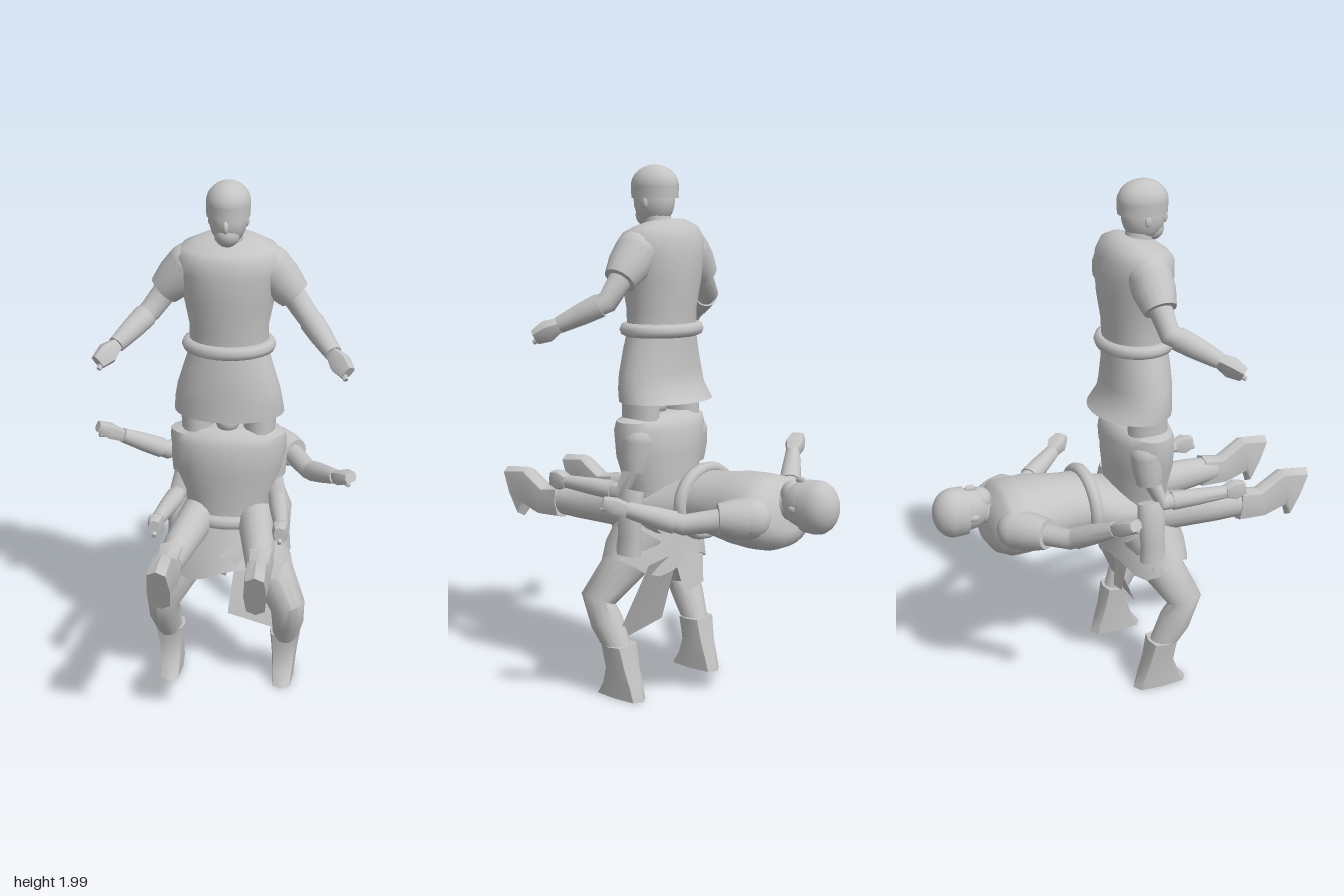
import * as THREE from 'three';
import { toCreasedNormals } from 'three/addons/utils/BufferGeometryUtils.js';

const CX = 0.042; // shared centre line of the three bodies
const X = new THREE.Vector3(1, 0, 0), Y = new THREE.Vector3(0, 1, 0), Z = new THREE.Vector3(0, 0, 1);
const DOWN = new THREE.Vector3(0, -1, 0);

// Closed skin through elliptical sections [x, y, z, radiusU, radiusV]; eight-sided skins are boxier.
// jag lifts the last ring in waves; axis keeps every ring square to one direction
function sweep(sections, ref = Z, sides = 16, jag = 0, axis = null) {
  const c = sections.map(s => new THREE.Vector3(s[0], s[1], s[2]));
  const n = c.length, pos = [], idx = [];
  const round = w => Math.sign(w) * Math.abs(w) ** (sides === 8 ? 0.6 : 1);
  c.forEach((p, i) => {
    const t = axis ?? c[Math.min(i + 1, n - 1)].clone().sub(c[Math.max(i - 1, 0)]).normalize();
    const u = t.clone().cross(ref).normalize(), v = u.clone().cross(t);
    const ru = sections[i][3], rv = sections[i][4] ?? ru;
    for (let j = 0; j < sides; j++) {
      const a = j / sides * Math.PI * 2;
      const q = p.clone().addScaledVector(u, round(Math.cos(a)) * ru).addScaledVector(v, round(Math.sin(a)) * rv);
      if (i === n - 1) q.y += jag * Math.sin(a * 4 + 0.6);
      pos.push(q.x, q.y, q.z);
    }
  });
  pos.push(...c[0].toArray(), ...c[n - 1].toArray());
  for (let j = 0; j < sides; j++) {
    const k = (j + 1) % sides, top = (n - 1) * sides;
    for (let i = 0; i < n - 1; i++) {
      const a = i * sides + j, b = i * sides + k;
      idx.push(a, a + sides, b, b, a + sides, b + sides);
    }
    idx.push(n * sides, j, k, n * sides + 1, top + k, top + j);
  }
  const g = new THREE.BufferGeometry();
  g.setAttribute('position', new THREE.Float32BufferAttribute(pos, 3));
  g.setIndex(idx);
  return toCreasedNormals(g, 0.85);
}

export function createModel() {
  const root = new THREE.Group();
  const grey = new THREE.MeshStandardMaterial({ color: 0xc4c4c4, side: THREE.DoubleSide });
  grey.name = 'plain grey';

  const add = (name, geo, parent = root) => {
    const m = new THREE.Mesh(geo, grey);
    m.name = name;
    parent.add(m);
    return m;
  };
  const ball = (name, parent, p, s, theta = Math.PI) => {
    const m = add(name, new THREE.SphereGeometry(1, 20, 12, 0, Math.PI * 2, 0, theta), parent);
    m.position.set(...p);
    m.scale.set(...s);
  };
  const belt = (parent, y, z, rx, rz) => {
    const g = new THREE.TorusGeometry(1, 0.17, 8, 28).rotateX(Math.PI / 2);
    const m = add('belt', g, parent);
    m.position.set(0, y, z);
    m.scale.set(rx, 0.15, rz);
  };
  // Mirrors section centres about the shared centre line
  const side = (s, list) => list.map(p => [CX + s * p[0], ...p.slice(1)]);

  // Torso with belt, neck and capped head; origin at the belt
  function upperBody(name, headShift) {
    const g = new THREE.Group();
    g.name = name;
    add('shirt', sweep([[0, -0.02, 0, 0.145, 0.115], [0, 0.08, 0, 0.145, 0.12], [0, 0.18, 0, 0.165, 0.135],
      [0, 0.27, 0, 0.185, 0.137], [0, 0.33, 0, 0.195, 0.131], [0, 0.365, 0.002, 0.17, 0.114],
      [0, 0.385, 0.008, 0.12, 0.085], [0, 0.395, 0.01, 0.07, 0.06]], Z, 24), g);
    belt(g, 0, 0, 0.147, 0.125);
    const head = new THREE.Group();
    head.name = 'headGroup';
    head.position.set(...headShift);
    g.add(head);
    add('neck', sweep([[0, 0.34, 0.01, 0.055], [0, 0.45, 0.025, 0.047]]), head);
    ball('head', head, [0, 0.475, 0.035], [0.068, 0.098, 0.083]);
    ball('jaw', head, [0, 0.42, 0.066], [0.045, 0.045, 0.048]);
    add('capBand', sweep([[0, 0.48, 0.032, 0.077, 0.094], [0, 0.525, 0.032, 0.079, 0.096]], Z, 20), head);
    ball('capDome', head, [0, 0.525, 0.032], [0.079, 0.077, 0.096], Math.PI / 2);
    ball('nose', head, [0, 0.455, 0.118], [0.011, 0.022, 0.014]);
    for (const s of [-1, 1]) ball('ear', head, [s * 0.065, 0.462, 0.025], [0.008, 0.02, 0.013]);
    root.add(g);
    return g;
  }

  // Arm from shoulder, sleeve end, elbow, wrist and hand tip; r is the shoulder radius
  function arm(name, [sh, sl, el, wr, hd], ref, r) {
    const g = new THREE.Group();
    g.name = name;
    const mix = (a, b, t) => a.map((v, i) => v + (b[i] - v) * t);
    ball('shoulder', g, sh, [r, r, r]);
    add('sleeve', sweep([[...sh, r], [...mix(sh, sl, 0.5), r * 0.94], [...sl, r * 0.74]], ref), g);
    add('bareArm', sweep([[...mix(sh, sl, 0.7), r * 0.56], [...el, r * 0.5], [...wr, r * 0.33]], ref), g);
    add('cuff', sweep([[...mix(el, wr, 0.15), r * 0.54], [...mix(el, wr, 0.5), r * 0.5], [...wr, r * 0.38]], ref), g);
    add('hand', sweep([[...wr, 0.024], [...mix(wr, hd, 0.5), 0.04, 0.03], [...hd, 0.028, 0.02]], ref, 8), g);
    const mid = mix(wr, hd, 0.3), tip = mix(wr, hd, 0.9);
    tip[1] -= 0.025;
    tip[2] += 0.02;
    add('thumb', sweep([[...mid, 0.016], [...tip, 0.009]], ref, 6), g);
    root.add(g);
  }

  // Top figure: upright half body with a tunic flaring backwards
  const top = upperBody('standingUpperBody', [0, 0, 0]);
  top.position.set(CX, 1.4, 0.065);
  add('tunicSkirt', sweep([[0, 0, 0, 0.14, 0.118], [0, -0.08, 0.005, 0.165, 0.122], [0, -0.16, 0.005, 0.19, 0.126],
    [0, -0.215, 0, 0.2, 0.13], [0, -0.265, -0.02, 0.205, 0.152]], Z, 24, 0, DOWN), top);
  for (const s of [-1, 1]) {
    arm('upperArm', side(s, [[0.145, 1.685, 0.06], [0.235, 1.59, 0.06], [0.285, 1.515, 0.075],
      [0.385, 1.43, 0.22], [0.44, 1.385, 0.29]]), Z, 0.082);
    add('thighStub', sweep(side(s, [[0.115, 1.2, 0.07, 0.065, 0.078], [0.115, 1.03, 0.07, 0.058, 0.078]])));
  }
  ball('tunicKnot', root, [CX, 1.11, 0.1], [0.045, 0.045, 0.05]);

  // Lying figure: on its back, head to the rear and legs forward
  const lying = upperBody('lyingUpperBody', [0.015, -0.012, 0.02]);
  lying.position.set(CX, 0.77, -0.15);
  lying.rotation.x = -Math.PI / 2;
  add('lyingSkirt', sweep([[CX, 0.76, -0.16, 0.14, 0.115], [CX, 0.74, -0.05, 0.165, 0.1], [CX, 0.73, 0.06, 0.17, 0.085]], Y, 20));
  arm('lyingRightArm', [[-0.09, 0.78, -0.465], [-0.195, 0.795, -0.385], [-0.255, 0.79, -0.32],
    [-0.42, 0.89, -0.215], [-0.51, 0.94, -0.175]], Y, 0.076);
  arm('lyingLeftArm', [[0.18, 0.775, -0.465], [0.265, 0.775, -0.385], [0.325, 0.75, -0.28],
    [0.44, 0.8, -0.12], [0.5, 0.83, -0.055]], Y, 0.076);
  for (const s of [-1, 1]) {
    add('lyingLeg', sweep(side(s, [[0.09, 0.72, -0.03, 0.075, 0.08], [0.12, 0.72, 0.2, 0.065, 0.075],
      [0.145, 0.715, 0.36, 0.058, 0.063], [0.16, 0.71, 0.5, 0.045, 0.05]]), Y));
    add('lyingBoot', sweep(side(s, [[0.16, 0.71, 0.44, 0.048, 0.064], [0.162, 0.7, 0.54, 0.042, 0.06],
      [0.164, 0.745, 0.635, 0.041, 0.078], [0.166, 0.715, 0.7, 0.04, 0.106]]), Y, 8));
  }

  // Bottom figure: headless torso with forward-reaching arms
  const base = new THREE.Group();
  base.name = 'lowerTorso';
  base.position.x = CX;
  root.add(base);
  add('lowerShirt', sweep([[0, 0.69, 0.07, 0.15, 0.115], [0, 0.82, 0.07, 0.165, 0.115], [0, 0.93, 0.075, 0.205, 0.125],
    [0, 1.03, 0.075, 0.218, 0.125], [0, 1.065, 0.075, 0.214, 0.11], [0, 1.085, 0.075, 0.15, 0.085]], Z, 24), base);
  belt(base, 0.73, 0.07, 0.15, 0.125);
  add('lowerSkirt', sweep([[0, 0.74, 0.08, 0.15, 0.115], [0, 0.66, 0.09, 0.19, 0.13],
    [0, 0.58, 0.1, 0.235, 0.15], [0, 0.525, 0.105, 0.25, 0.16]], Z, 24, 0.03), base);
  for (const s of [-1, 1]) {
    arm('reachingArm', side(s, [[0.15, 0.995, 0.05], [0.165, 0.88, 0.055], [0.19, 0.8, 0.1],
      [0.225, 0.81, 0.35], [0.225, 0.815, 0.43]]), X, 0.066);
    add('hipPouch', sweep(side(s, [[0.185, 0.81, 0.05, 0.03, 0.05], [0.2, 0.75, 0.05, 0.04, 0.055],
      [0.2, 0.64, 0.055, 0.035, 0.048], [0.2, 0.57, 0.06, 0.04, 0.055]])));
    add('standingLeg', sweep(side(s, [[0.1, 0.64, 0.06, 0.09], [0.165, 0.52, 0.105, 0.084], [0.242, 0.385, 0.175, 0.068],
      [0.24, 0.3, 0.135, 0.062], [0.225, 0.17, 0.07, 0.045]])));
    add('standingBoot', sweep(side(s, [[0.228, 0.222, 0.085, 0.06, 0.056], [0.225, 0.13, 0.07, 0.05, 0.06],
      [0.223, 0.065, 0.07, 0.045, 0.085], [0.222, 0.015, 0.08, 0.042, 0.112]]), Z, 8, 0, DOWN));
  }

  // Hanging cloth flaps below the skirt
  const flap = (name, pts) => {
    const g = new THREE.BufferGeometry();
    g.setAttribute('position', new THREE.Float32BufferAttribute(pts.flat(), 3));
    g.setIndex([0, 1, 2, 0, 2, 3]);
    g.computeVertexNormals();
    add(name, g);
  };
  flap('longFlap', [[0.07, 0.56, -0.04], [0.04, 0.27, 0.07], [0.28, 0.22, 0.1], [0.24, 0.54, -0.04]]);
  flap('shortFlap', [[-0.1, 0.56, -0.02], [-0.08, 0.41, -0.04], [0.02, 0.38, -0.03], [0.06, 0.56, 0]]);
  flap('frontFold', [[0.03, 0.62, 0.25], [0.1, 0.6, 0.27], [0.14, 0.66, 0.25], [0.08, 0.65, 0.22]]);
  return root;
}
